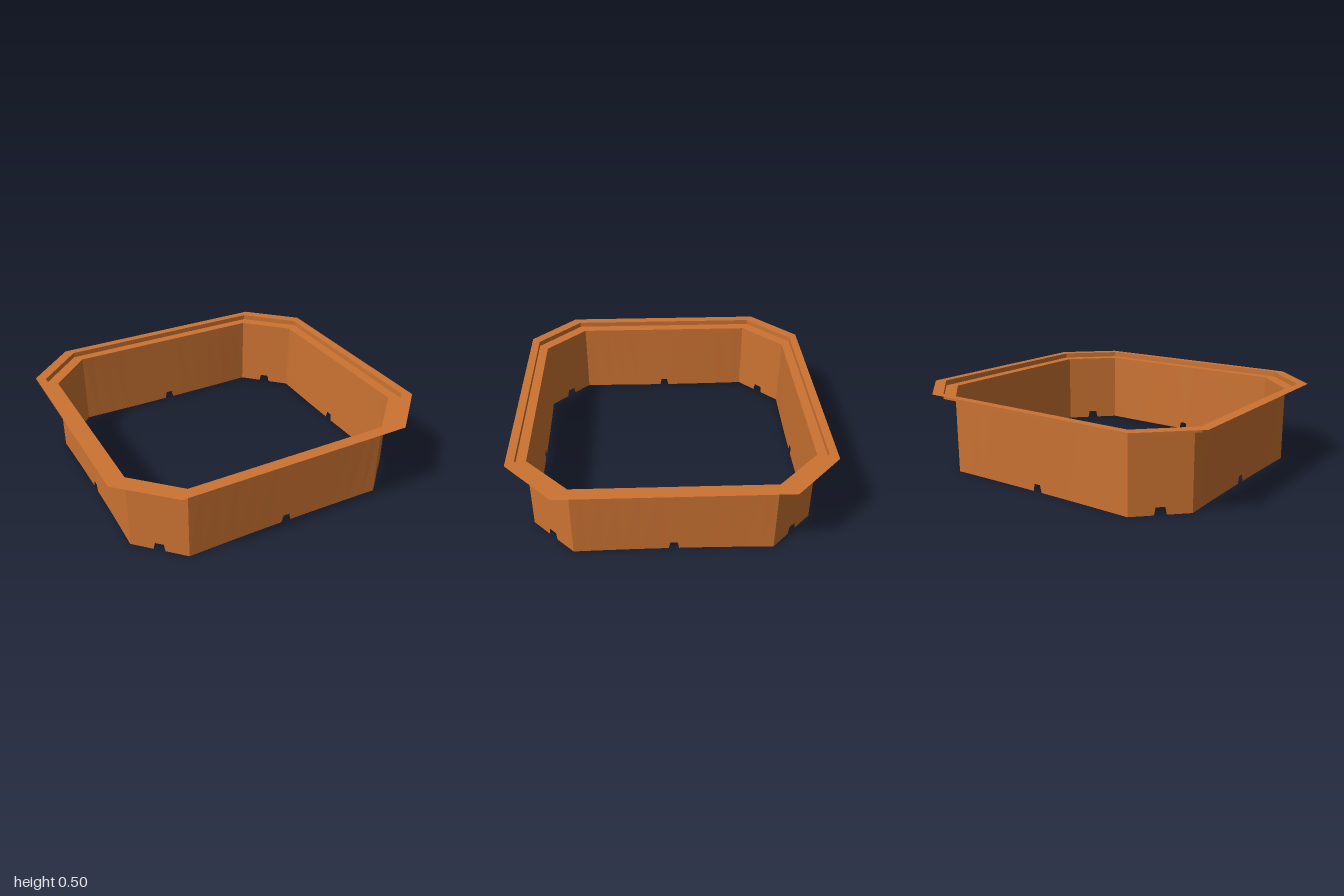
import * as THREE from 'three';

const material = new THREE.MeshStandardMaterial({
  color: 0xcc7332, flatShading: true, side: THREE.DoubleSide,
});

const WALL_TOP = 0.465, RIM_TOP = 0.497;

// Corners of a chamfered rectangle, counter-clockwise seen from above, starting front left of centre.
function octagon(x, z, cutX, cutZ) {
  return [[-cutX, z], [cutX, z], [x, cutZ], [x, -cutZ],
    [cutX, -z], [-cutX, -z], [-x, -cutZ], [-x, cutZ]];
}

// Sheet between two lists of points of equal length.
function sheet(name, lower, upper) {
  const p = [];
  for (let i = 0; i < lower.length - 1; i++) {
    const [a, b, c, d] = [lower[i], lower[i + 1], upper[i + 1], upper[i]];
    if (a.distanceTo(b) > 1e-6) p.push(a, b, c);
    if (c.distanceTo(d) > 1e-6) p.push(a, c, d);
  }
  const geometry = new THREE.BufferGeometry().setFromPoints(p);
  geometry.computeVertexNormals();
  const mesh = new THREE.Mesh(geometry, material);
  mesh.name = name;
  return mesh;
}

// Upright panel from corner a to corner b; seams are fractions of the half length,
// notch is a small trapezoid cut from the middle of the lower edge.
function panel(name, a, b, seamsTop, seamsBottom, notchBase, notchTip, bow) {
  const half = Math.hypot(b[0] - a[0], b[1] - a[1]) / 2;
  const ux = (b[0] - a[0]) / (2 * half), uz = (b[1] - a[1]) / (2 * half);
  const cx = (a[0] + b[0]) / 2, cz = (a[1] + b[1]) / 2;
  const at = (s, y) => {
    const out = bow * (1 - (s / half) ** 2) * (1 - y / WALL_TOP);
    return new THREE.Vector3(cx + ux * s - uz * out, y, cz + uz * s + ux * out);
  };
  const inner = seamsTop[seamsTop.length - 1];
  const top = [...seamsTop, inner, inner].map(f => -f * half);
  const bottom = [...seamsBottom.map(f => [-f * half, 0]), [-notchBase, 0], [-notchTip, 0.045]];
  // Mirror the left half to the right
  const topAll = [...top, ...top.map(s => -s).reverse()];
  const bottomAll = [...bottom, ...bottom.map(([s, y]) => [-s, y]).reverse()];
  return sheet(name, bottomAll.map(([s, y]) => at(s, y)), topAll.map(s => at(s, WALL_TOP)));
}

// Closed band between two octagons at given heights.
function band(name, lower, y0, upper, y1) {
  const loop = (o, y) => [...o, o[0]].map(([x, z]) => new THREE.Vector3(x, y, z));
  return sheet(name, loop(lower, y0), loop(upper, y1));
}

export function createModel() {
  const model = new THREE.Group();
  model.name = 'octagonalPlanter';

  const wall = octagon(0.88, 0.82, 0.63, 0.572);
  const step = octagon(0.945, 0.878, 0.67, 0.61);
  const lip = octagon(1, 0.928, 0.712, 0.648);

  // Four planked walls and four plain corner panels, alternating
  const names = ['front', 'frontLeft', 'left', 'backLeft', 'back', 'backRight', 'right', 'frontRight'];
  const walls = new THREE.Group();
  walls.name = 'walls';
  names.forEach((side, i) => {
    const a = wall[i], b = wall[(i + 1) % 8];
    walls.add(i % 2 === 0
      ? panel(side + 'Wall', a, b,
        [1, 0.873, 0.69, 0.51, 0.32, 0.127], [1, 0.873, 0.7, 0.524, 0.35, 0.165], 0.03, 0.02, -0.008)
      : panel(side + 'CornerPanel', a, b, [1], [1], 0.035, 0.026, 0));
  });
  // Bow the planked walls outward near the base
  walls.children.forEach(m => m.geometry.computeBoundingSphere());

  // Stepped rim: inner ledge, upright step, outer lip
  const rim = new THREE.Group();
  rim.name = 'rim';
  rim.add(
    band('rimLedge', step, WALL_TOP, wall, WALL_TOP),
    band('rimStep', step, WALL_TOP, step, RIM_TOP),
    band('rimLip', lip, RIM_TOP, step, RIM_TOP),
  );

  model.add(walls, rim);
  return model;
}
